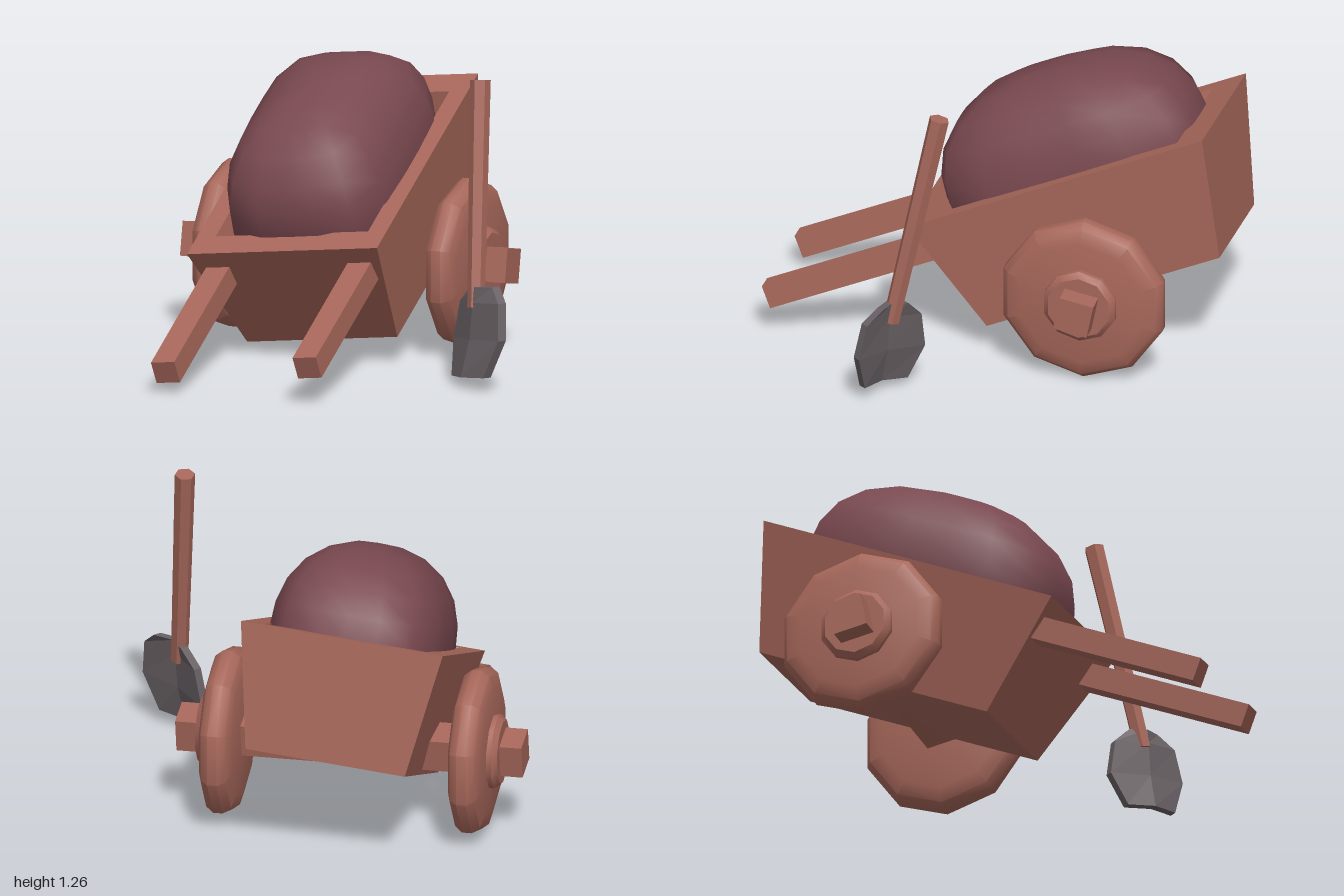
import * as THREE from 'three';
import { mergeVertices, toCreasedNormals } from 'three/addons/utils/BufferGeometryUtils.js';

const mat = (name, color) => {
  const m = new THREE.MeshStandardMaterial({ color });
  m.name = name;
  return m;
};

const flat = (geo) => {
  const g = geo.toNonIndexed();
  g.computeVertexNormals();
  return g;
};

const lathe = (points, sides) =>
  new THREE.LatheGeometry(points.map(([r, y]) => new THREE.Vector2(r, y)), sides);

function add(parent, name, geo, material, x = 0, y = 0, z = 0) {
  const mesh = new THREE.Mesh(geo, material);
  mesh.name = name;
  mesh.position.set(x, y, z);
  parent.add(mesh);
  return mesh;
}

// Rounded, boxy load: a superellipsoid made from a sphere
function sackGeometry(a, h, b) {
  let g = new THREE.SphereGeometry(1, 18, 12);
  g.deleteAttribute('uv');
  g.deleteAttribute('normal');
  const p = g.attributes.position;
  for (let i = 0; i < p.count; i++) {
    const x = p.getX(i), y = p.getY(i), z = p.getZ(i);
    const r = Math.hypot(x, z);
    // The poles have no direction in plan, so they keep a scale of one
    const plan = r > 1e-5 ? (Math.abs(x / r) ** 4 + Math.abs(z / r) ** 4) ** -0.25 : 1;
    const s = (r ** 2.3 + Math.abs(y) ** 2.3) ** (-1 / 2.3);
    p.setXYZ(i, x * s * plan * a, y * s * h, z * s * plan * b);
  }
  g = mergeVertices(g, 1e-4);
  g.computeVertexNormals();
  return g;
}

// Scooped shovel blade: rows of [height, half width, sideways offset]
function bladeGeometry() {
  const rows = [[0.42, 0.075, 0.33], [0.355, 0.15, 0.32], [0.2, 0.18, 0.305], [0.045, 0.12, 0.265]];
  const g = new THREE.BoxGeometry(0.036, 3, 2, 1, 3, 2);
  const p = g.attributes.position;
  for (let i = 0; i < p.count; i++) {
    const [y, half, x] = rows[Math.round(1.5 - p.getY(i))];
    const s = p.getZ(i);
    p.setXYZ(i, x + p.getX(i) + 0.03 * Math.abs(s) + 0.012 * s, y + s * half * 0.12, 0.82 + s * half);
  }
  return flat(g);
}

export function createModel() {
  const model = new THREE.Group();
  model.name = 'handcart';
  const wood = mat('reddish wood', 0xa7675a);
  const cloth = mat('plum sack', 0x78484f);
  const metal = mat('dark metal', 0x686064);

  // Tilted cart: local +x runs to the rear, +z to the cart's side, origin at the rim centre
  const cart = new THREE.Group();
  cart.name = 'cart';
  const rear = new THREE.Vector3(0.9, 0.5, -0.85).normalize();
  const up = new THREE.Vector3(0.55, 0.09, 0.64).cross(rear).normalize();
  const side = rear.clone().cross(up);
  cart.quaternion.setFromRotationMatrix(new THREE.Matrix4().makeBasis(rear, up, side));
  cart.position.set(0.195, 0.757, -0.25);
  model.add(cart);

  // Hollow tapered tub
  const q = Math.SQRT2;
  const tub = lathe([[0, -0.524], [0.527 * q, -0.524], [0.667 * q, 0],
    [0.535 * q, 0], [0.44 * q, -0.42], [0, -0.42]], 4);
  tub.rotateY(Math.PI / 4).scale(1, 1, 0.64);
  add(cart, 'tub', flat(tub), wood);

  add(cart, 'sack', sackGeometry(0.56, 0.4, 0.36), cloth, 0, -0.01, 0);

  for (const s of [-1, 1]) {
    add(cart, s < 0 ? 'rightHandle' : 'leftHandle',
      new THREE.BoxGeometry(0.81, 0.1, 0.105), wood, -0.965, -0.133, s * 0.318);
  }

  // Level axle with a wheel and hub at each end
  const axle = new THREE.Group();
  axle.name = 'axleAssembly';
  axle.position.set(0.325, 0.355, -0.342);
  axle.rotation.y = 0.7;
  model.add(axle);
  const beam = add(axle, 'axle', new THREE.BoxGeometry(0.145, 0.145, 1.46), wood);
  beam.rotation.z = -0.2;

  const wheelGeo = toCreasedNormals(lathe([[0, -0.07], [0.27, -0.07], [0.33, -0.052],
    [0.355, -0.02], [0.355, 0.02], [0.33, 0.052], [0.27, 0.07], [0, 0.07]], 10).rotateX(Math.PI / 2), 0.7);
  const hubGeo = toCreasedNormals(lathe([[0.158, 0.05], [0.158, 0.09],
    [0.135, 0.112], [0, 0.112]], 10).rotateX(Math.PI / 2), 0.7);
  for (const s of [-1, 1]) {
    const wheel = new THREE.Group();
    wheel.name = s < 0 ? 'farWheel' : 'nearWheel';
    wheel.position.z = s * 0.525;
    wheel.rotation.y = s < 0 ? Math.PI : 0;
    add(wheel, 'rim', wheelGeo, wood);
    add(wheel, 'hub', hubGeo, wood);
    axle.add(wheel);
  }

  // Leaning shovel
  const shovel = new THREE.Group();
  shovel.name = 'shovel';
  model.add(shovel);
  const top = new THREE.Vector3(0.432, 1.25, 0.635);
  const foot = new THREE.Vector3(0.325, 0.33, 0.805);
  const dir = top.clone().sub(foot);
  const mid = top.clone().add(foot).multiplyScalar(0.5);
  const shaft = add(shovel, 'shovelShaft',
    flat(new THREE.CylinderGeometry(0.043, 0.036, dir.length(), 6)), wood, mid.x, mid.y, mid.z);
  shaft.quaternion.setFromUnitVectors(new THREE.Vector3(0, 1, 0), dir.normalize());
  add(shovel, 'shovelBlade', bladeGeometry(), metal);

  return model;
}
